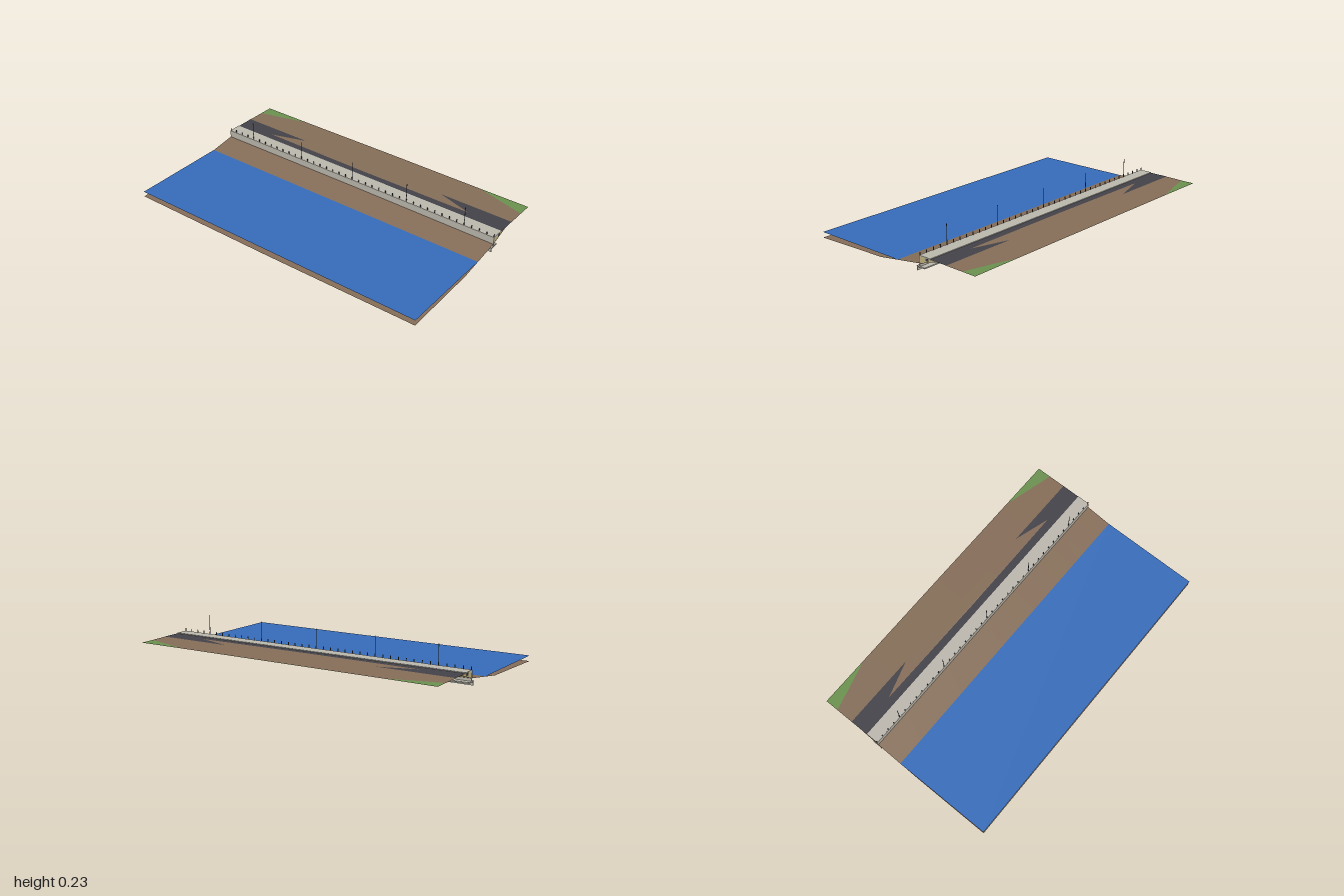
import * as THREE from 'three';

const mat = (name, color, side = THREE.FrontSide) => {
  const m = new THREE.MeshStandardMaterial({ color, side });
  m.name = name;
  return m;
};

export function createModel() {
  const group = new THREE.Group();
  const D = THREE.DoubleSide;
  const earth = mat('earth brown', 0x846d58, D);
  const water = mat('water blue', 0x366bb8, D);
  const grass = mat('grass green', 0x6a8f4e, D);
  const asphalt = mat('asphalt', 0x434249, D);
  const concrete = mat('concrete', 0xbab6ac);
  const sand = mat('sand fill', 0xc2b280);
  const metal = mat('dark metal', 0x3c3f44);

  const add = (name, geo, material) => {
    const mesh = new THREE.Mesh(geo, material);
    mesh.name = name;
    group.add(mesh);
    return mesh;
  };

  // Strip surface over x from -1 to 1; each row gives z and its height at centre and ends
  const sheet = (rows, columns) => {
    const pos = [], index = [], n = columns + 1;
    rows.forEach(([z, mid, end]) => {
      for (let i = 0; i < n; i++) {
        const x = -1 + (2 * i) / columns;
        pos.push(x, mid + (end - mid) * Math.abs(x), z);
      }
    });
    for (let r = 0; r < rows.length - 1; r++) {
      for (let i = 0; i < columns; i++) {
        const a = r * n + i, b = a + n;
        index.push(a, b, a + 1, a + 1, b, b + 1);
      }
    }
    const g = new THREE.BufferGeometry();
    g.setAttribute('position', new THREE.Float32BufferAttribute(pos, 3));
    g.setIndex(index);
    const flat = g.toNonIndexed();
    flat.computeVertexNormals();
    return flat;
  };

  // Box running along the whole shore, given by its section limits
  const beam = (name, z0, z1, y0, y1, material) => {
    const mesh = add(name, new THREE.BoxGeometry(2, y1 - y0, z1 - z0), material);
    mesh.position.set(0, (y0 + y1) / 2, (z0 + z1) / 2);
  };

  // Natural ground: sea bed, beach slope and slightly crowned land
  add('ground', sheet([
    [-0.6, 0.1042, 0.1017],
    [-0.4, 0.10704, 0.10504],
    [-0.33, 0.1075, 0.1055],
    [-0.2, 0.067, 0.0635],
    [0.1, 0.0165, 0.0185],
    [0.6, 0, 0.005],
  ], 16), earth);

  // Flat surfaces that the ground cuts through
  add('sea', sheet([[-0.03, 0.039, 0.039], [0.6, 0.039, 0.039]], 1), water);
  add('road', sheet([[-0.4, 0.106, 0.106], [-0.28, 0.106, 0.106]], 1), asphalt);
  add('verge', sheet([[-0.6, 0.1025, 0.1025], [-0.4, 0.104, 0.104]], 1), grass);

  // Wedge of fill behind the sea wall
  const wedge = new THREE.Shape([[0.2, 0.062], [0.33, 0.1045], [0.2, 0.1045]]
    .map(([a, y]) => new THREE.Vector2(a, y)));
  const fill = new THREE.ExtrudeGeometry(wedge, { depth: 1.998, bevelEnabled: false });
  fill.rotateY(Math.PI / 2).translate(-0.999, 0, 0);
  add('backfill', fill, sand);

  // Promenade, service duct and retaining wall with footing and toe
  beam('promenade', -0.28, -0.2, 0.104, 0.11, concrete);
  beam('serviceDuct', -0.267, -0.245, 0.089, 0.1035, metal);
  beam('seaWall', -0.204, -0.198, 0.045, 0.1095, concrete);
  beam('wallFooting', -0.238, -0.178, 0.04, 0.047, concrete);
  beam('wallToe', -0.184, -0.178, 0.02, 0.04, concrete);

  // Bollards along the wall top
  const bollard = new THREE.CylinderGeometry(0.0028, 0.0028, 0.018, 8);
  for (let i = 0; i <= 40; i++) {
    const x = THREE.MathUtils.clamp(-1 + i * 0.05, -0.997, 0.997);
    add('bollard', bollard, metal).position.set(x, 0.118, -0.203);
  }

  // Lamp posts
  const post = new THREE.CylinderGeometry(0.0018, 0.0018, 0.122, 8);
  for (let i = -2; i <= 2; i++) {
    add('lampPost', post, metal).position.set(i * 0.4, 0.169, -0.203);
  }

  return group;
}
